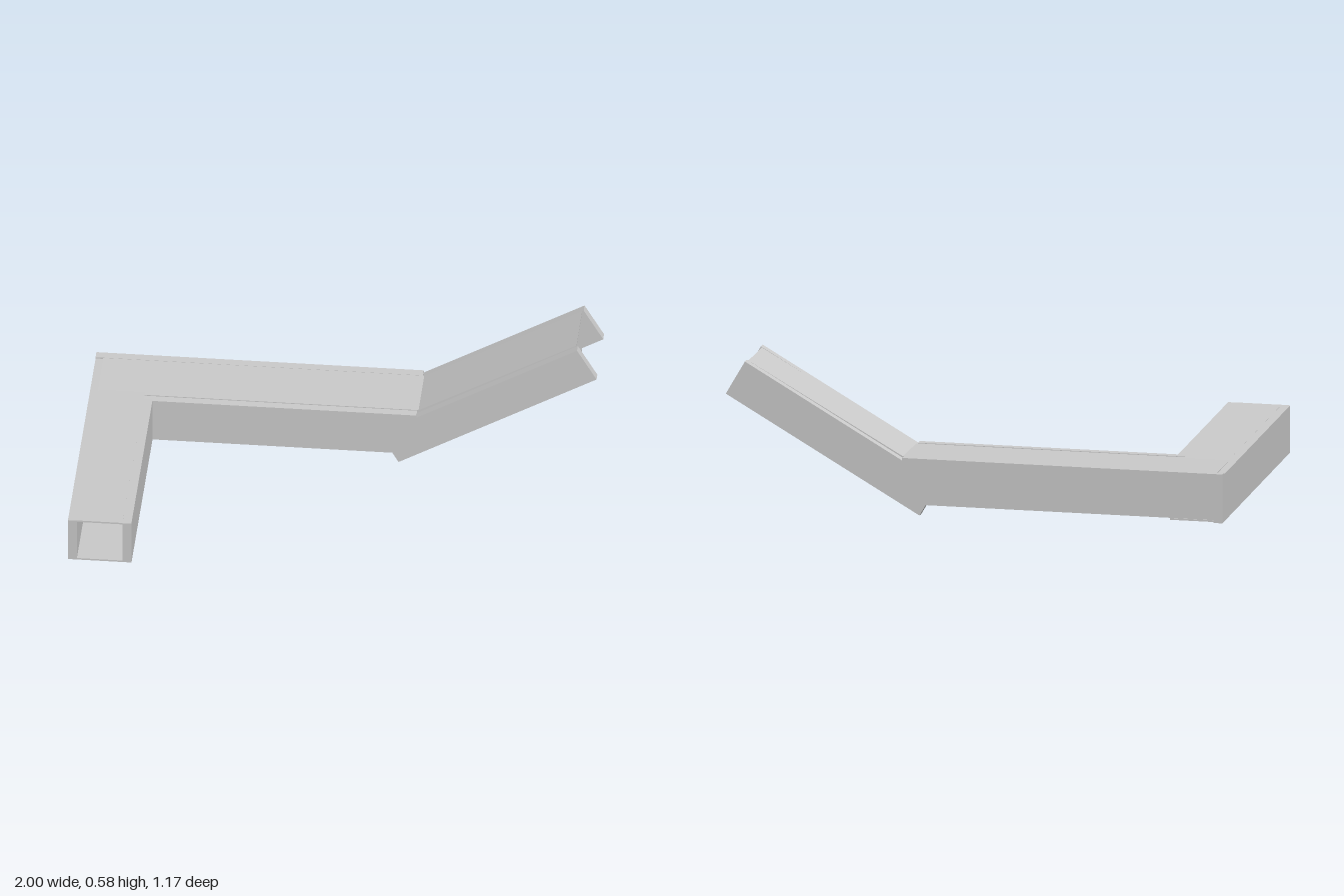
import * as THREE from 'three';

const material = new THREE.MeshStandardMaterial({ color: 0xcccccc, flatShading: true });

// Extrudes a side outline across a range: along z (outline is x,y) or along x (outline is z,y).
function panel(name, outline, from, to, alongX = false) {
  const shape = new THREE.Shape(outline.map(([u, v]) => new THREE.Vector2(u, v)));
  const geometry = new THREE.ExtrudeGeometry(shape, { depth: to - from, bevelEnabled: false });
  if (alongX) geometry.rotateY(-Math.PI / 2).translate(to, 0, 0);
  else geometry.translate(0, 0, from);
  const mesh = new THREE.Mesh(geometry, material);
  mesh.name = name;
  return mesh;
}

// Outline of a strip from (u0, v0) to (u1, v1), rising by h.
const strip = (u0, v0, u1, v1, h) => [[u0, v0], [u1, v1], [u1, v1 + h], [u0, v0 + h]];

export function createModel() {
  const model = new THREE.Group();
  const thin = 0.007;

  // Gently sloping arm: two thick walls, thin floor and ceiling, open at the front
  const armY = (z) => 0.0465 + z * 0.0225;
  const arm = new THREE.Group();
  arm.name = 'arm';
  const armWall = (z) => [[z, armY(z)], [0.581, armY(0.581)], [0.585, 0.249], [z, armY(z) + 0.19]];
  arm.add(
    panel('armOuterWall', armWall(-0.585), -1, -0.965, true),
    panel('armInnerWall', armWall(-0.31), -0.785, -0.75, true),
    panel('armFloor', strip(-0.57, armY(-0.57), 0.581, armY(0.581), thin), -0.965, -0.785, true),
    panel('armCeiling', strip(-0.57, armY(-0.57) + 0.183, 0.584, armY(0.584) + 0.183, thin), -0.965, -0.785, true)
  );

  // Level passage
  const passage = new THREE.Group();
  passage.name = 'passage';
  passage.add(
    panel('passageFrontWall', strip(-0.785, 0.045, 0.29, 0.045, 0.185), -0.31, -0.277),
    panel('passageBackWall', strip(-1, 0.045, 0.29, 0.045, 0.185), -0.585, -0.55),
    panel('passageFloor', strip(-0.97, 0.041, 0.295, 0.041, thin), -0.55, -0.316),
    panel('passageCeiling', strip(-0.97, 0.222, 0.295, 0.222, thin), -0.55, -0.316)
  );

  // Rising ramp: tilted walls that run past the floor and ceiling
  const ramp = new THREE.Group();
  ramp.name = 'ramp';
  const rampWall = [[0.22, 0.002], [1, 0.452], [0.923, 0.585], [0.143, 0.135]];
  ramp.add(
    panel('rampFrontWall', rampWall, -0.31, -0.277),
    panel('rampBackWall', rampWall, -0.585, -0.55),
    panel('rampFloor', strip(0.29, 0.041, 0.917, 0.4, thin), -0.55, -0.316),
    panel('rampCeiling', strip(0.29, 0.219, 0.917, 0.575, thin), -0.55, -0.316)
  );

  model.add(arm, passage, ramp);
  return model;
}
